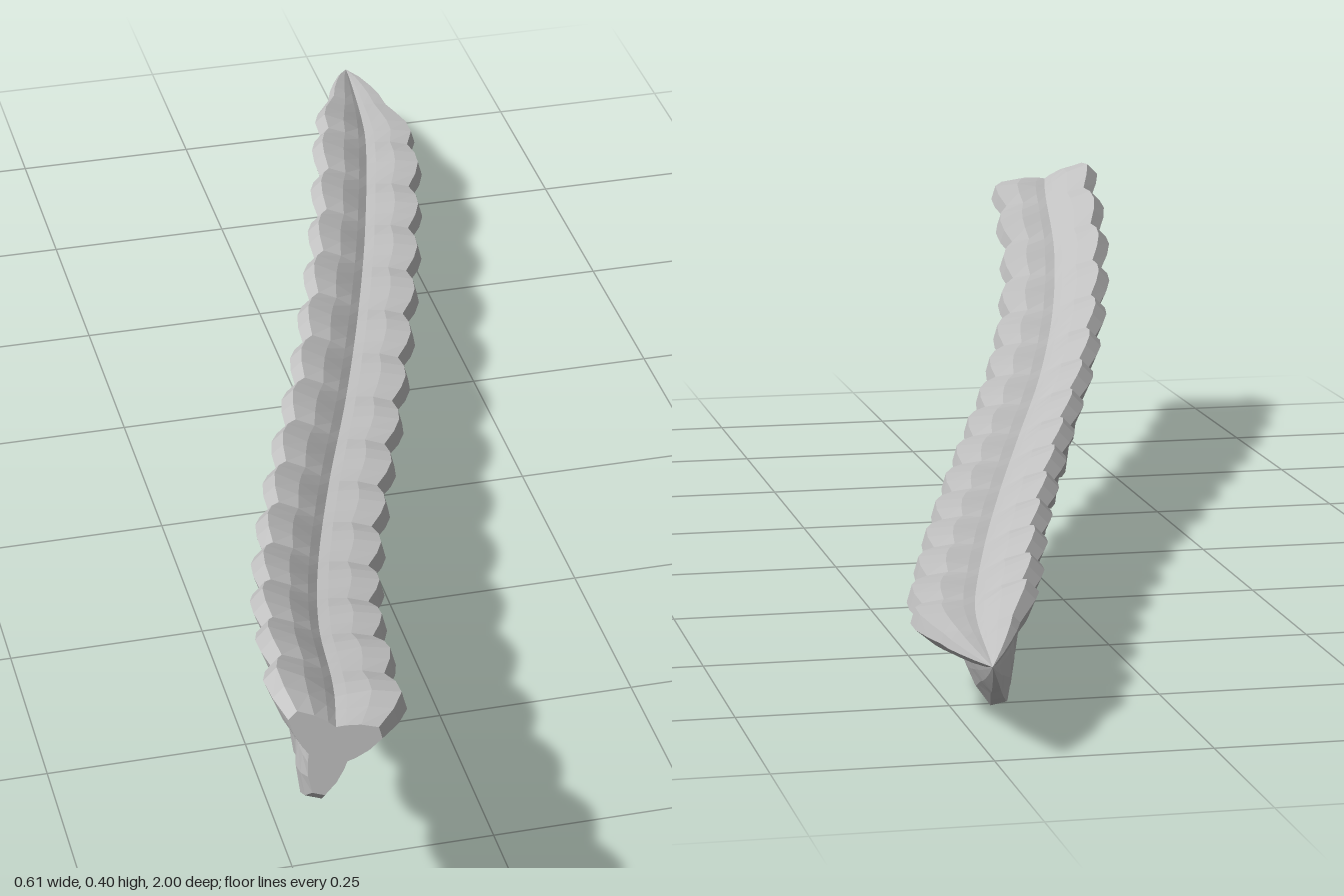
import * as THREE from 'three';

const BUMPS = 16, STEPS = 4, RINGS = BUMPS * STEPS;

// One of three ribs: [angle from the crest in degrees, radius, share of the scallop]
const RIB = [
  [-60, 0.031, 0], [-42, 0.039, 0.03], [-22, 0.06, 0.12], [-7, 0.086, 0.17],
  [7, 0.086, 0.17], [22, 0.06, 0.12], [42, 0.039, 0.03],
];
const SECTION = [16, 136, 256].flatMap((crest) =>
  RIB.map(([a, r, s]) => ({ a: THREE.MathUtils.degToRad(crest + a), r, s })));

// Centre line from the cut end to the pointed tip
const SPINE = new THREE.CatmullRomCurve3([
  [-0.26, 0.36, 0.985], [-0.24, 0.337, 0.88], [-0.212, 0.285, 0.7], [-0.165, 0.23, 0.5],
  [-0.09, 0.18, 0.25], [-0.005, 0.145, 0], [0.075, 0.123, -0.25], [0.148, 0.108, -0.5],
  [0.218, 0.1, -0.78], [0.252, 0.117, -1],
].map((p) => new THREE.Vector3(...p)));

// Overall thickness: narrowed at the cut, running to a point at the tip
function thickness(t) {
  const cut = 0.78 + 0.22 * Math.min(1, t / 0.025);
  const tip = Math.pow(Math.min(1, (1 - t) / 0.115), 0.8);
  return cut * tip;
}

// Points of the cross-section at ring i
function ring(i) {
  const t = i / RINGS;
  const centre = SPINE.getPointAt(t);
  const forward = SPINE.getTangentAt(t).negate();
  const side = new THREE.Vector3(0, 1, 0).cross(forward).normalize();
  const up = forward.clone().cross(side);
  const notch = 1 - Math.sin((Math.PI * (i % STEPS)) / STEPS);
  const fade = Math.min(1, (1 - t) / 0.12);
  return SECTION.map(({ a, r, s }) => {
    const radius = r * 1.05 * thickness(t) * (1 - s * notch * fade);
    return centre.clone()
      .addScaledVector(side, Math.cos(a) * radius)
      .addScaledVector(up, Math.sin(a) * radius);
  });
}

function facets(points) {
  const geometry = new THREE.BufferGeometry().setFromPoints(points);
  geometry.computeVertexNormals();
  return geometry;
}

export function createModel() {
  const group = new THREE.Group();
  group.name = 'ribbedStem';
  const grey = new THREE.MeshStandardMaterial({ color: 0xc0c0c0 });
  grey.name = 'stem grey';

  const rings = Array.from({ length: RINGS + 1 }, (_, i) => ring(i));
  const n = SECTION.length;

  // Scalloped ribs, skinned ring to ring
  const skin = [];
  for (let i = 0; i < RINGS; i++) {
    for (let j = 0; j < n; j++) {
      const k = (j + 1) % n;
      const a = rings[i][j], b = rings[i][k], c = rings[i + 1][k], d = rings[i + 1][j];
      skin.push(a, d, b);
      if (i < RINGS - 1) skin.push(b, d, c);
    }
  }
  // The last row closes on the tip, so each quad there is one triangle
  const stem = new THREE.Mesh(facets(skin), grey);
  stem.name = 'stem';
  group.add(stem);

  // Flat cut end
  const centre = SPINE.getPointAt(0), cap = [];
  for (let j = 0; j < n; j++) cap.push(centre, rings[0][j], rings[0][(j + 1) % n]);
  const cutEnd = new THREE.Mesh(facets(cap), grey);
  cutEnd.name = 'cutEnd';
  group.add(cutEnd);

  return group;
}
